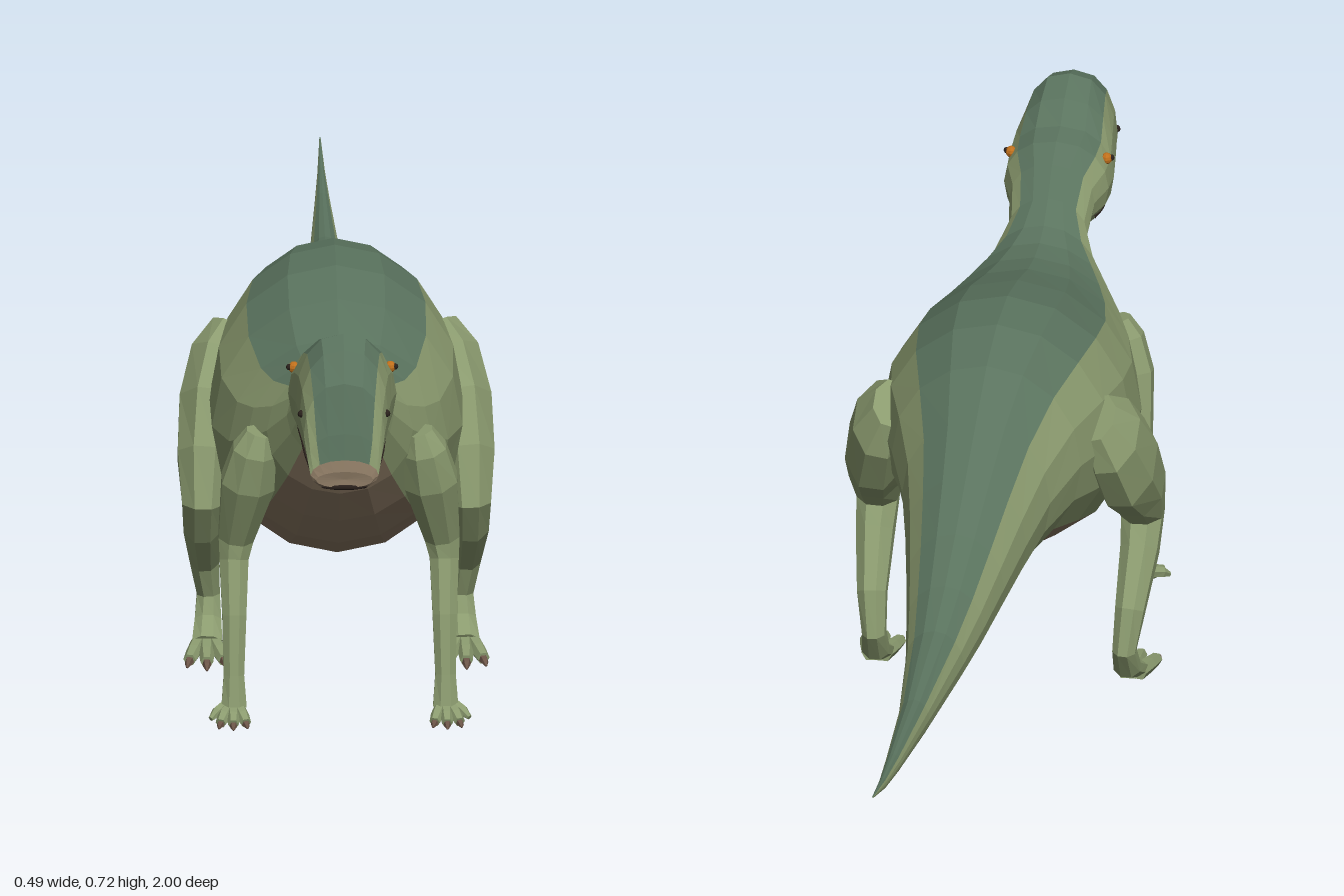
import * as THREE from 'three';

const mat = (color, extra = {}) => new THREE.MeshStandardMaterial({ color, flatShading: true, ...extra });
const V = (x, y, z) => new THREE.Vector3(x, y, z);

// Skin a list of rings; keep(i, k) picks which faces (ring i, side k) belong to this mesh
function skin(rings, keep = () => true) {
  const pos = [];
  const tri = (a, b, c) => {
    const area = b.clone().sub(a).cross(c.clone().sub(a)).length();
    if (area > 1e-9) for (const p of [a, b, c]) pos.push(p.x, p.y, p.z);
  };
  for (let i = 0; i < rings.length - 1; i++) {
    const n = rings[i].length;
    for (let k = 0; k < n; k++) {
      if (!keep(i, k)) continue;
      const a = rings[i][k], b = rings[i + 1][k];
      const c = rings[i + 1][(k + 1) % n], d = rings[i][(k + 1) % n];
      tri(a, b, c);
      tri(a, c, d);
    }
  }
  const g = new THREE.BufferGeometry();
  g.setAttribute('position', new THREE.Float32BufferAttribute(pos, 3));
  g.computeVertexNormals();
  return g;
}

// Closed limb through points [x, y, z, radiusAcross, radiusAlong]
function limb(points, sides = 8) {
  const c = points.map(p => V(p[0], p[1], p[2]));
  const rings = points.map((p, i) => {
    const t = c[Math.min(i + 1, c.length - 1)].clone().sub(c[Math.max(i - 1, 0)]).normalize();
    const v = t.clone().cross(V(1, 0, 0)).normalize();
    const u = v.clone().cross(t);
    return Array.from({ length: sides }, (_, k) => {
      const a = (k + 0.5) / sides * Math.PI * 2;
      return c[i].clone().addScaledVector(u, p[3] * Math.sin(a)).addScaledVector(v, (p[4] ?? p[3]) * Math.cos(a));
    });
  });
  const point = p => Array.from({ length: sides }, () => p);
  return skin([point(c[0]), ...rings, point(c[c.length - 1])]);
}

// Body stations from tail tip to muzzle: z, top, bottom, half width, squareness exponent
const BODY = [
  [-1, 0.412, 0.41, 0.001, 1], [-0.9, 0.396, 0.377, 0.006, 1], [-0.8, 0.388, 0.355, 0.012, 1],
  [-0.6, 0.383, 0.318, 0.024, 1], [-0.4, 0.402, 0.297, 0.045, 1], [-0.3, 0.43, 0.294, 0.06, 1],
  [-0.2, 0.47, 0.296, 0.076, 1], [-0.1, 0.517, 0.3, 0.094, 1], [0, 0.565, 0.303, 0.115, 1],
  [0.1, 0.61, 0.293, 0.147, 1], [0.2, 0.632, 0.252, 0.178, 1], [0.3, 0.632, 0.213, 0.194, 1],
  [0.4, 0.61, 0.202, 0.192, 1], [0.5, 0.58, 0.25, 0.168, 1], [0.56, 0.57, 0.305, 0.142, 1],
  [0.61, 0.57, 0.365, 0.112, 1], [0.65, 0.58, 0.43, 0.082, 1], [0.69, 0.607, 0.495, 0.061, 1],
  [0.73, 0.645, 0.525, 0.066, 0.9], [0.77, 0.665, 0.518, 0.081, 0.85], [0.81, 0.672, 0.513, 0.083, 0.8],
  [0.85, 0.7, 0.504, 0.079, 0.8], [0.9, 0.718, 0.497, 0.073, 0.8], [0.94, 0.705, 0.496, 0.068, 0.8],
  [0.97, 0.66, 0.497, 0.062, 0.8], [0.988, 0.585, 0.497, 0.056, 0.8], [0.995, 0.545, 0.497, 0.052, 0.9],
  [1, 0.528, 0.502, 0.044, 1],
];

export function createModel() {
  const model = new THREE.Group();
  const back = mat(0x5a735e), flank = mat(0x8b9b6f), belly = mat(0x8a7862);
  const clawMat = mat(0x6b5447), dark = mat(0x2a211c), orange = mat(0xc0701c);
  const add = (name, geo, material, parent = model) => {
    const m = new THREE.Mesh(geo, material);
    m.name = name;
    parent.add(m);
    return m;
  };

  // Tail, trunk, neck and head as one skin, in three colour bands
  const N = 16;
  const rings = BODY.map(([z, top, bottom, w, e]) => Array.from({ length: N }, (_, k) => {
    const a = k / N * Math.PI * 2, s = Math.sin(a);
    return V(w * Math.sign(s) * Math.abs(s) ** e, (top + bottom) / 2 + (top - bottom) / 2 * Math.cos(a), z);
  }));
  rings.push(Array.from({ length: N }, () => V(0, 0.515, 0.998)));
  const lip = BODY.length - 2;
  const band = (i, k) => {
    if (i >= lip) return 'belly';
    const d = Math.min(k, N - 1 - k);
    return d < 2 ? 'back' : d < 6 ? 'flank' : 'belly';
  };
  for (const [name, material] of Object.entries({ back, flank, belly }))
    add(name, skin(rings, (i, k) => band(i, k) === name), material);

  // Dark slit across the front of the mouth
  add('mouthOpening', new THREE.SphereGeometry(1, 12, 6), dark).scale.set(0.036, 0.005, 0.004);
  model.getObjectByName('mouthOpening').position.set(0, 0.503, 0.997);

  // Toes with claws fanning forward from a foot
  function toes(foot, s, x, y, z, length, r, spread) {
    spread.forEach((dx, i) => {
      const len = length * (1 - Math.abs(i - 1) * 0.15);
      const at = (f, h, rad) => [s * (x + dx * (0.35 + 0.65 * f)), h, z + len * f, rad];
      add('toe', limb([at(0, y, r), at(0.45, y * 0.75, r * 0.95), at(0.8, r * 0.8, r * 0.75)], 6), flank, foot);
      add('claw', limb([at(0.75, r * 0.75, r * 0.6), at(0.9, r * 0.6, r * 0.45), at(1, r * 0.25, r * 0.12)], 5), clawMat, foot);
    });
  }

  for (const s of [1, -1]) {
    const side = s > 0 ? 'left' : 'right';
    const mirror = pts => pts.map(([x, ...rest]) => [s * x, ...rest]);

    // Front leg: shoulder, elbow, wrist
    const front = new THREE.Group();
    front.name = side + 'FrontLeg';
    add('arm', limb(mirror([
      [0.122, 0.46, 0.592, 0.022, 0.024], [0.13, 0.43, 0.59, 0.036, 0.037], [0.14, 0.375, 0.577, 0.044, 0.042],
      [0.158, 0.275, 0.543, 0.029, 0.03], [0.161, 0.24, 0.548, 0.024, 0.025], [0.161, 0.16, 0.578, 0.02, 0.02],
      [0.162, 0.07, 0.598, 0.017, 0.017], [0.162, 0.022, 0.61, 0.021, 0.016],
    ])), flank, front);
    toes(front, s, 0.162, 0.02, 0.61, 0.055, 0.011, [-0.02, 0.002, 0.024]);
    add('outerToe', limb(mirror([[0.172, 0.025, 0.605, 0.01], [0.188, 0.018, 0.62, 0.009], [0.198, 0.01, 0.63, 0.004]]), 6), flank, front);
    model.add(front);

    // Hind leg: thigh, knee, ankle, foot
    const hind = new THREE.Group();
    hind.name = side + 'HindLeg';
    add('leg', limb(mirror([
      [0.16, 0.495, 0.178, 0.03, 0.045], [0.178, 0.455, 0.2, 0.046, 0.072], [0.193, 0.39, 0.245, 0.05, 0.082],
      [0.202, 0.325, 0.3, 0.044, 0.06], [0.205, 0.262, 0.332, 0.034, 0.042], [0.205, 0.215, 0.302, 0.031, 0.036],
      [0.2, 0.14, 0.24, 0.024, 0.027], [0.194, 0.08, 0.222, 0.019, 0.024], [0.195, 0.042, 0.243, 0.022, 0.019],
      [0.197, 0.02, 0.285, 0.025, 0.015],
    ])), flank, hind);
    toes(hind, s, 0.197, 0.019, 0.272, 0.1, 0.013, [-0.028, 0.002, 0.032]);
    model.add(hind);

    // Eye, nostril and mouth line
    const eye = add(side + 'Eye', new THREE.SphereGeometry(0.009, 8, 6), orange);
    eye.position.set(s * 0.074, 0.63, 0.795);
    const pupil = add(side + 'Pupil', new THREE.SphereGeometry(0.005, 8, 6), dark);
    pupil.position.set(s * 0.081, 0.631, 0.797);
    const nostril = add(side + 'Nostril', new THREE.SphereGeometry(0.006, 8, 6), dark);
    nostril.position.set(s * 0.065, 0.605, 0.948);
    const line = new THREE.CatmullRomCurve3([
      V(s * 0.062, 0.553, 0.745), V(s * 0.067, 0.545, 0.8), V(s * 0.062, 0.54, 0.88),
      V(s * 0.058, 0.537, 0.94), V(s * 0.05, 0.526, 0.985),
    ]);
    add(side + 'MouthLine', new THREE.TubeGeometry(line, 12, 0.003, 5), dark);
  }
  return model;
}
